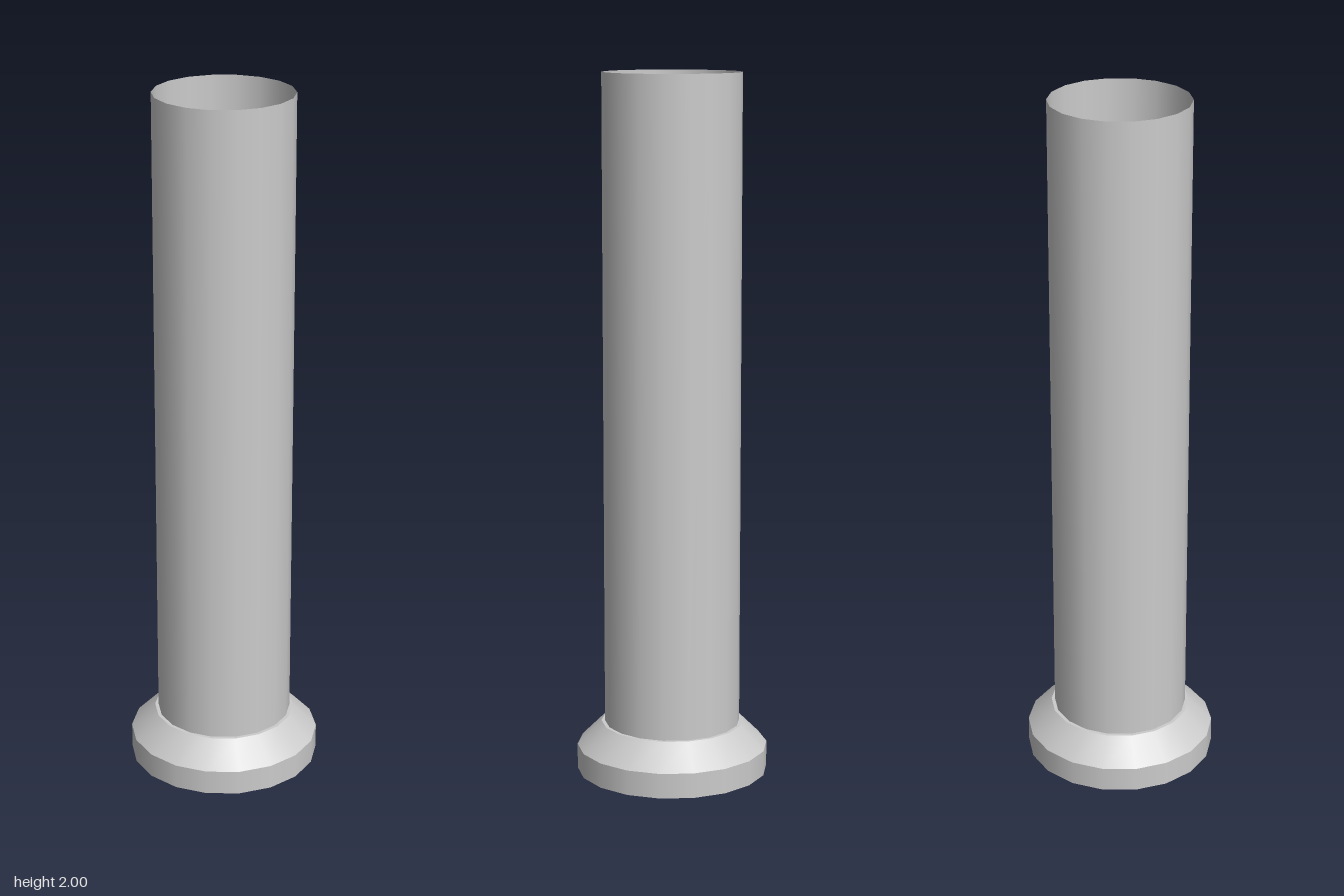
import * as THREE from 'three';

const SIDES = 18;

export function createModel() {
  const group = new THREE.Group();
  const material = new THREE.MeshStandardMaterial({ color: 0xcccccc, side: THREE.DoubleSide });

  const add = (name, geometry) => {
    const mesh = new THREE.Mesh(geometry, material);
    mesh.name = name;
    group.add(mesh);
    return mesh;
  };

  // Open ring of wall between two heights, with a corner on the x axis
  const wall = (name, rBottom, rTop, y0, y1) => {
    const geometry = new THREE.CylinderGeometry(rTop, rBottom, y1 - y0, SIDES, 1, true, Math.PI / 2);
    return add(name, geometry.translate(0, (y0 + y1) / 2, 0));
  };

  // Hollow base: straight rim, sloped shoulder and flat top plate
  wall('baseRim', 0.275, 0.275, 0, 0.072);
  wall('baseShoulder', 0.275, 0.205, 0.072, 0.142);
  add('basePlate', new THREE.CircleGeometry(0.205, SIDES).rotateX(-Math.PI / 2).translate(0, 0.142, 0));

  // Tall tube, open at the top
  wall('tube', 0.195, 0.195, 0.142, 2);

  return group;
}
